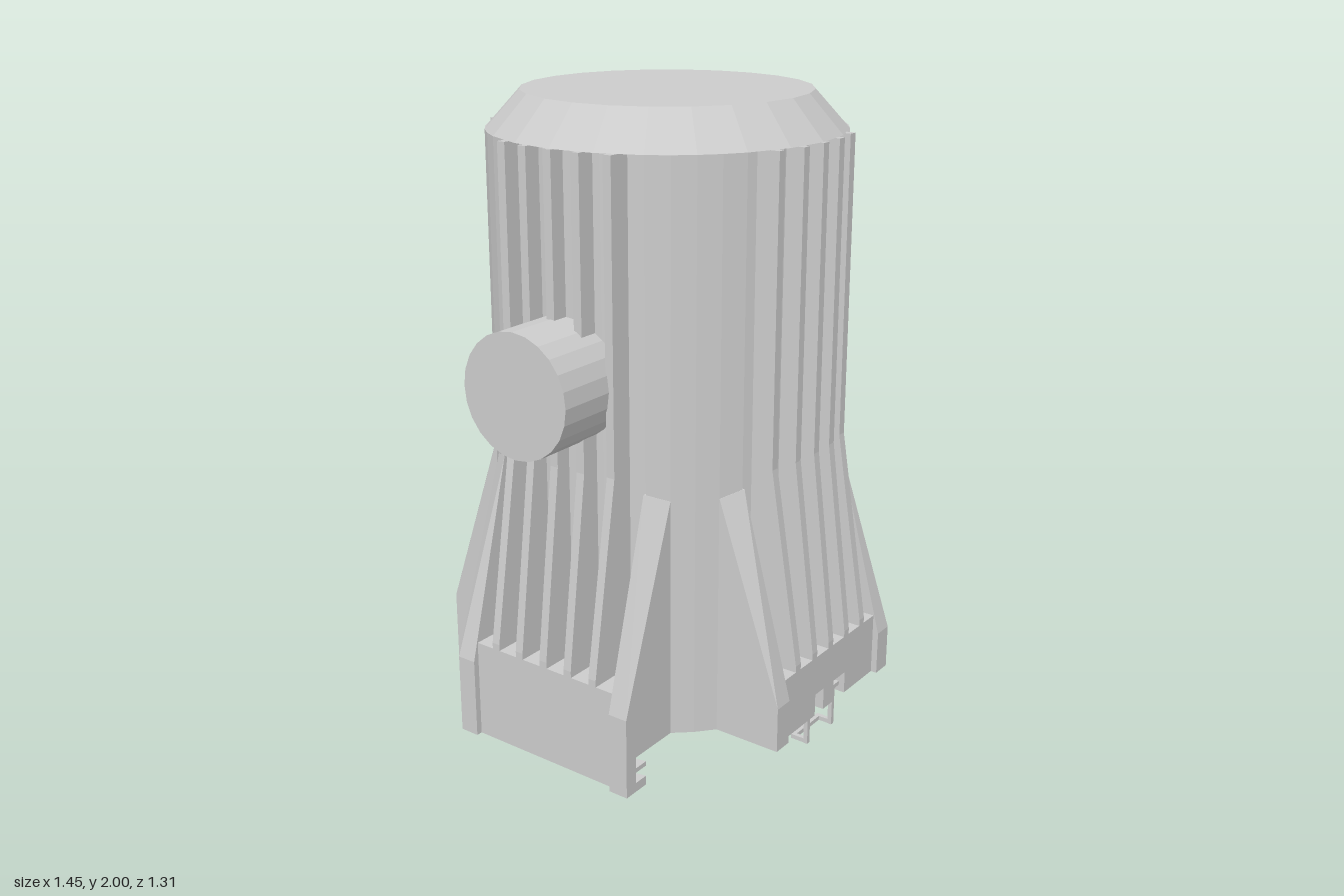
import * as THREE from 'three';
import { ConvexGeometry } from 'three/addons/geometries/ConvexGeometry.js';

const BODY_R = 0.55;  // smooth corner panels of the housing
const CORE_R = 0.51;  // recessed wall behind the fins
const ARM = 0.335;    // half width of each arm of the base
const BASE_Y = 0.117; // underside of the base

export function createModel() {
  const root = new THREE.Group();
  const mat = new THREE.MeshStandardMaterial({ color: 0xcccccc, flatShading: true });

  const add = (name, geo, x = 0, y = 0, z = 0, parent = root) => {
    const m = new THREE.Mesh(geo, mat);
    m.name = name;
    m.position.set(x, y, z);
    parent.add(m);
    return m;
  };
  const box = (name, w, h, d, x, y, z, parent) =>
    add(name, new THREE.BoxGeometry(w, h, d), x, y, z, parent);

  // Extrude a plan outline (plan y points to -z) between two heights
  const slab = (name, shape, y0, y1, parent) => {
    const g = new THREE.ExtrudeGeometry(shape, { depth: y1 - y0, bevelEnabled: false, curveSegments: 16 });
    g.rotateX(-Math.PI / 2);
    return add(name, g, 0, y0, 0, parent);
  };

  // Outer edge of one arm as [outward, sideways] pairs
  const armEdge = (notched) => [
    [0.655, -ARM], [0.655, -0.27], [0.635, -0.27],
    ...(notched ? [
      [0.635, -0.085], [0.58, -0.085], [0.58, -0.035], [0.635, -0.035],
      [0.635, 0.025], [0.58, 0.025], [0.58, 0.095], [0.635, 0.095],
    ] : []),
    [0.635, 0.27], [0.655, 0.27], [0.655, ARM],
  ];

  // Cross-shaped base plan with a round opening underneath
  const basePlan = (notched) => {
    const pts = [];
    for (let k = 0; k < 4; k++) {
      const a = (k * Math.PI) / 2, c = Math.round(Math.cos(a)), s = Math.round(Math.sin(a));
      const edge = [[0.436, -ARM], ...armEdge(notched && k === 3), [0.436, ARM], [0.389, 0.389]];
      for (const [o, t] of edge) pts.push(new THREE.Vector2(o * c - t * s, o * s + t * c));
    }
    const shape = new THREE.Shape(pts);
    const hole = new THREE.Path();
    hole.absarc(0, 0, CORE_R, 0, Math.PI * 2, true);
    shape.holes.push(hole);
    return shape;
  };
  slab('baseLower', basePlan(true), BASE_Y, 0.19);
  slab('baseUpper', basePlan(false), 0.19, 0.26);

  // Housing core and chamfered cap
  add('housingCore', new THREE.CylinderGeometry(CORE_R, CORE_R, 1.68, 24), 0, 1.04, 0);
  add('cap', new THREE.CylinderGeometry(0.445, BODY_R, 0.115, 24), 0, 1.9425, 0);

  // Smooth corner panel of the housing, spanning 30 degrees
  const panelPlan = new THREE.Shape();
  panelPlan.moveTo(0.42, 0.25);
  for (let d = 30; d <= 60; d += 7.5) {
    const a = THREE.MathUtils.degToRad(d);
    panelPlan.lineTo(BODY_R * Math.cos(a), BODY_R * Math.sin(a));
  }
  panelPlan.lineTo(0.25, 0.42);
  panelPlan.closePath();

  // Flared cooling fin profile, thickness along x
  const finGeometry = (reach) => {
    const s = new THREE.Shape([
      [0.4, 0.3], [0.635, 0.3], [0.635, 0.34], [reach, 0.95], [reach, 1.885], [0.4, 1.885],
    ].map(([z, y]) => new THREE.Vector2(-z, y)));
    const g = new THREE.ExtrudeGeometry(s, { depth: 0.028, bevelEnabled: false });
    g.translate(0, 0, -0.014);
    g.rotateY(Math.PI / 2);
    return g;
  };

  // Buttress sloping back into the corner panel; side is +1 or -1
  const buttressGeometry = (side) => new ConvexGeometry([
    [0.27, 0.26, 0.655], [ARM, 0.26, 0.655], [0.27, 0.26, 0.36], [ARM, 0.26, 0.36],
    [0.27, 0.9, 0.481], [ARM, 0.88, 0.437], [0.27, 0.9, 0.4], [ARM, 0.88, 0.4],
  ].map(([x, y, z]) => new THREE.Vector3(x * side, y, z)));

  // Skirt under an arm, with a curved inner face
  const skirtPlan = (inEnd, inMid) => {
    const s = new THREE.Shape();
    armEdge(false).forEach(([o, t], i) => (i ? s.lineTo(t, -o) : s.moveTo(t, -o)));
    s.lineTo(ARM, -inEnd);
    s.quadraticCurveTo(0, -(2 * inMid - inEnd), -ARM, -inEnd);
    s.closePath();
    return s;
  };

  // Four identical sides; the front has no skirt
  ['front', 'left', 'back', 'right'].forEach((side, i) => {
    const g = new THREE.Group();
    g.name = side + 'Side';
    g.rotation.y = (i * Math.PI) / 2;
    root.add(g);
    slab('cornerPanel', panelPlan, 0.26, 1.885, g);
    box('finSill', 0.54, 0.06, 0.255, 0, 0.29, 0.5075, g);
    for (let k = -2; k <= 2; k++) {
      add('coolingFin', finGeometry([0.56, 0.555, 0.535][Math.abs(k)]), k * 0.096, 0, 0, g);
    }
    for (const s of [-1, 1]) add('buttress', buttressGeometry(s), 0, 0, 0, g);
    if (side !== 'front') {
      const wide = skirtPlan(0.56, 0.6), narrow = skirtPlan(0.61, 0.617);
      slab('skirtLip', wide, 0, 0.03, g);
      slab('skirtGroove', narrow, 0.03, 0.065, g);
      slab('skirtRib', wide, 0.065, 0.08, g);
      slab('skirtWall', narrow, 0.08, BASE_Y, g);
    }
  });

  // Round trunnions on both sides
  for (const s of [-1, 1]) {
    const g = new THREE.CylinderGeometry(0.19, 0.19, 0.32, 24);
    g.rotateZ(Math.PI / 2);
    add(s > 0 ? 'leftTrunnion' : 'rightTrunnion', g, s * 0.565, 1.21, 0);
  }

  // Thin latch hanging from the front notches
  const latch = new THREE.Group();
  latch.name = 'latch';
  root.add(latch);
  for (const x of [-0.085, 0.062]) {
    box('latchStrip', 0.014, 0.14, 0.014, x, 0.082, 0.608, latch);
    box('latchFoot', 0.014, 0.014, 0.06, x, 0.02, 0.585, latch);
  }
  box('latchBar', 0.161, 0.014, 0.014, -0.0115, 0.02, 0.562, latch);
  box('latchHook', 0.046, 0.014, 0.014, 0.078, 0.145, 0.608, latch);
  return root;
}
